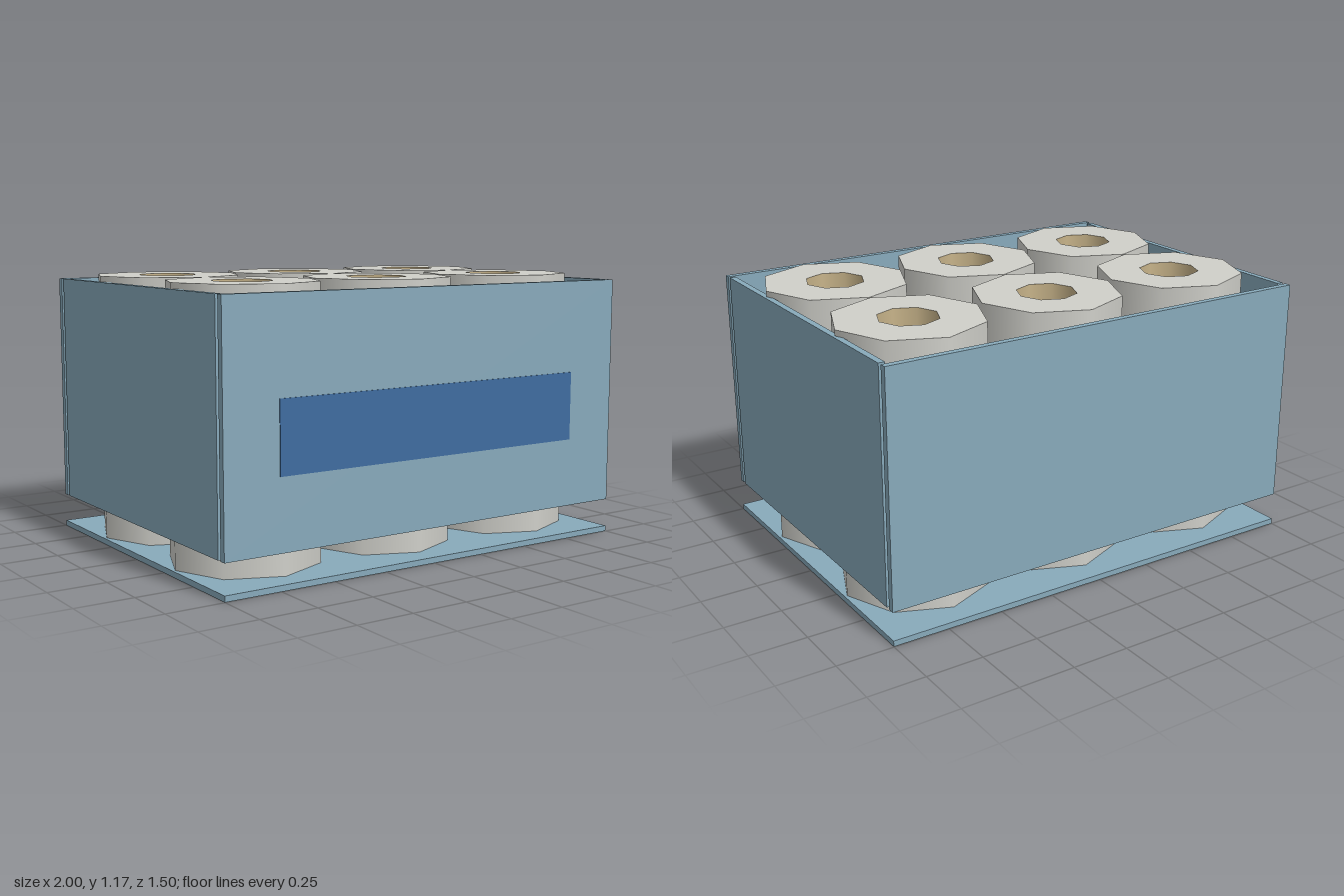
import * as THREE from 'three';

const material = (name, color, side = THREE.FrontSide) => {
  const m = new THREE.MeshStandardMaterial({ color, side });
  m.name = name;
  return m;
};

export function createModel() {
  const model = new THREE.Group();
  model.name = 'rollPack';
  const wrap = material('paleBlue', 0x88aabb);
  const blue = material('deepBlue', 0x3f6ca0);
  const paper = material('paperGrey', 0xd0d0ca);
  const card = material('cardboard', 0xc8b48a, THREE.DoubleSide);

  const add = (parent, name, geometry, mat, x = 0, y = 0, z = 0) => {
    const mesh = new THREE.Mesh(geometry, mat);
    mesh.name = name;
    mesh.position.set(x, y, z);
    parent.add(mesh);
    return mesh;
  };

  // Base sheet and four wrapper panels, with open gaps at the corners
  add(model, 'base', new THREE.BoxGeometry(2, 0.025, 1.495), wrap, 0, 0.0125, 0);
  const longPanel = new THREE.BoxGeometry(2, 1, 0.029);
  const shortPanel = new THREE.BoxGeometry(0.028, 1, 1.4);
  add(model, 'frontPanel', longPanel, wrap, 0, 0.65, 0.733);
  add(model, 'backPanel', longPanel, wrap, 0, 0.65, -0.733);
  add(model, 'leftPanel', shortPanel, wrap, 0.986, 0.65, 0);
  add(model, 'rightPanel', shortPanel, wrap, -0.986, 0.65, 0);

  // Blank label on the front
  add(model, 'label', new THREE.BoxGeometry(1.508, 0.3, 0.004), blue, 0, 0.6, 0.749);

  // Eight-sided rolls: smooth side, ring top, cardboard core, closed floor
  const R = 0.322, r = 0.13, y0 = 0.025, y1 = 1.175;
  const h = y1 - y0, mid = (y0 + y1) / 2;
  const side = new THREE.CylinderGeometry(R, R, h, 8, 1, true);
  const tube = new THREE.CylinderGeometry(r, r, h, 8, 1, true);
  const ring = new THREE.RingGeometry(r, R, 8).rotateX(-Math.PI / 2);
  const floor = new THREE.CircleGeometry(r, 8).rotateX(-Math.PI / 2);
  for (const z of [-0.325, 0.325]) {
    for (const x of [-0.666, 0, 0.666]) {
      const roll = new THREE.Group();
      roll.name = 'roll';
      roll.position.set(x, 0, z);
      add(roll, 'rollSide', side, paper, 0, mid);
      add(roll, 'rollTop', ring, paper, 0, y1);
      add(roll, 'rollCore', tube, card, 0, mid);
      add(roll, 'rollFloor', floor, paper, 0, y0 + 0.005);
      model.add(roll);
    }
  }
  return model;
}
